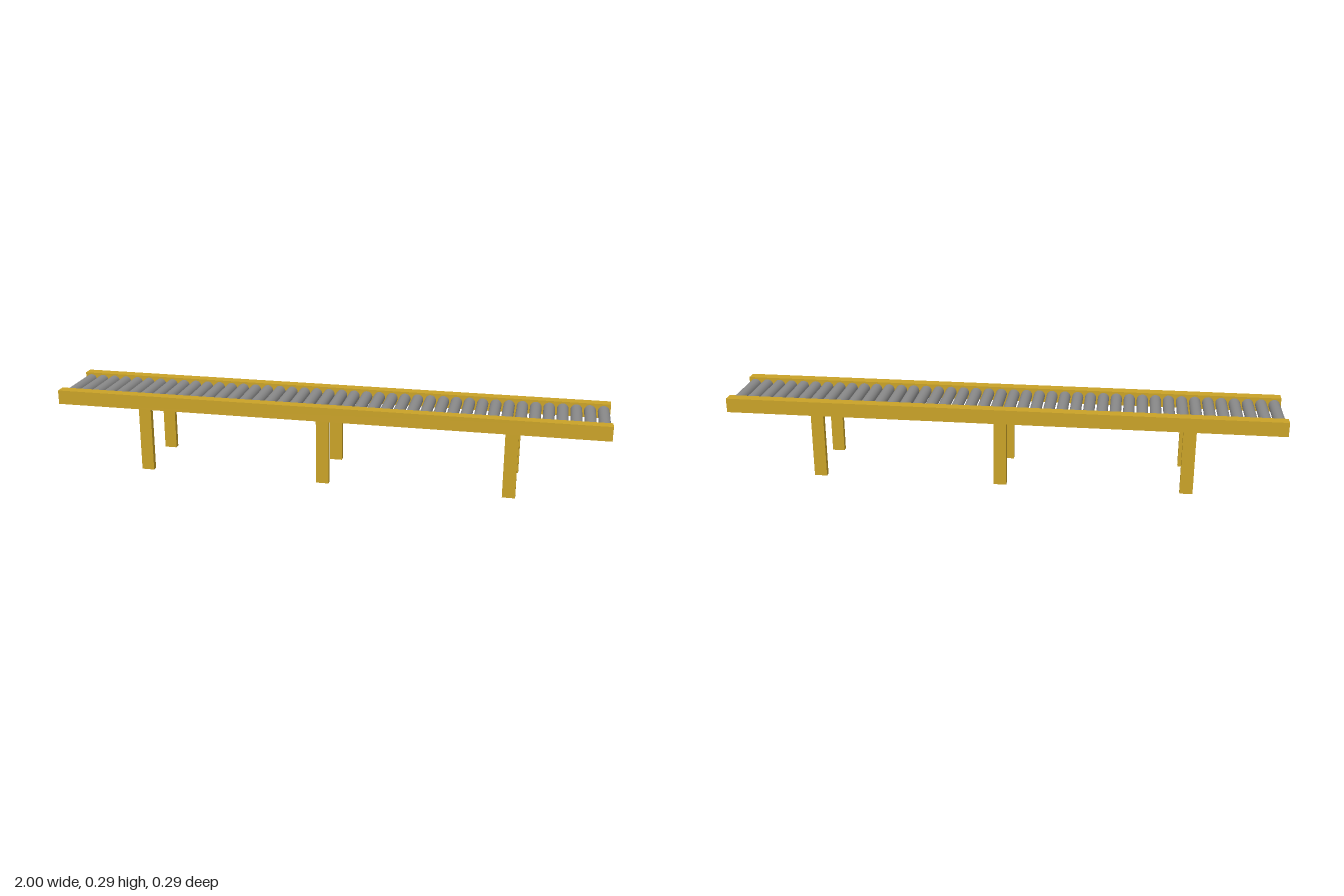
import * as THREE from 'three';

export function createModel() {
  const model = new THREE.Group();
  model.name = 'rollerConveyor';
  const yellow = new THREE.MeshStandardMaterial({ color: 0xc9a227 });
  const steel = new THREE.MeshStandardMaterial({ color: 0x8a8a8a });

  const add = (name, geometry, material, x, y, z) => {
    const mesh = new THREE.Mesh(geometry, material);
    mesh.name = name;
    mesh.position.set(x, y, z);
    model.add(mesh);
    return mesh;
  };

  // Side rails with three legs under each
  const railGeometry = new THREE.BoxGeometry(2, 0.052, 0.04);
  const legGeometry = new THREE.BoxGeometry(0.046, 0.24, 0.02);
  for (const side of [-1, 1]) {
    const end = side > 0 ? 'front' : 'back';
    add(end + 'Rail', railGeometry, yellow, 0, 0.264, side * 0.124);
    for (const x of [-0.667, 0, 0.667]) {
      add(end + 'Leg', legGeometry, yellow, x, 0.12, side * 0.123);
    }
  }

  // Row of rollers running between the rails
  const count = 42;
  const pitch = 2 / count;
  const rollerGeometry = new THREE.CylinderGeometry(0.0205, 0.0205, 0.212, 24).rotateX(Math.PI / 2);
  for (let i = 0; i < count; i++) {
    add('roller', rollerGeometry, steel, -1 + (i + 0.5) * pitch, 0.2635, 0);
  }

  return model;
}
